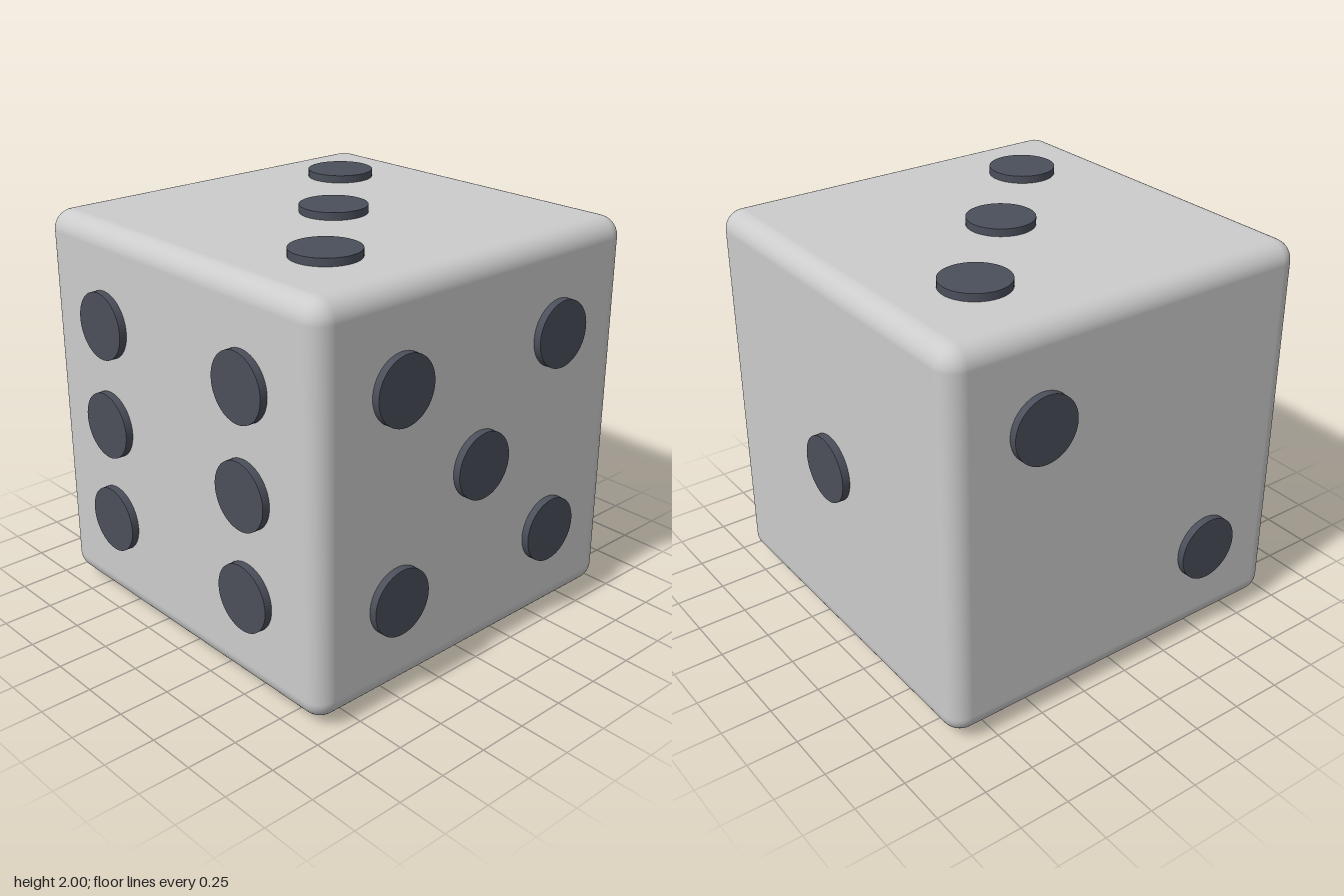
import * as THREE from 'three';
import { RoundedBoxGeometry } from 'three/addons/geometries/RoundedBoxGeometry.js';

const SIZE = 1.926;   // body edge length
const PIP_R = 0.163;
const PIP_TOP = 1;    // outer pip face, measured from the centre
const PIP_DEPTH = 0.1;
const S = 0.5;        // pip spacing

export function createModel() {
  const die = new THREE.Group();
  die.name = 'die';
  const bodyMat = new THREE.MeshStandardMaterial({ color: 0xcccccc });
  const pipMat = new THREE.MeshStandardMaterial({ color: 0x4b4f5a });

  // Rounded cube
  const body = new THREE.Mesh(new RoundedBoxGeometry(SIZE, SIZE, SIZE, 6, 0.1), bodyMat);
  body.name = 'body';
  body.position.y = 1;
  die.add(body);

  // Raised disc whose outer face points along +z
  const pipGeo = new THREE.CylinderGeometry(PIP_R, PIP_R, PIP_DEPTH, 48);
  pipGeo.rotateX(Math.PI / 2);
  pipGeo.translate(0, 0, PIP_TOP - PIP_DEPTH / 2);

  // Pip layouts, in each face's own right/up coordinates
  const corners = [[-S, S], [S, S], [-S, -S], [S, -S]];
  const q = Math.PI / 2;
  const faces = [
    { name: 'frontPips', rot: [0, 0, 0], pips: [...corners, [0, 0]] },
    { name: 'backPips', rot: [0, 2 * q, 0], pips: [[-S, S], [S, -S]] },
    { name: 'leftPips', rot: [0, q, 0], pips: [[0, 0]] },
    { name: 'rightPips', rot: [0, -q, 0], pips: [...corners, [-S, 0], [S, 0]] },
    { name: 'topPips', rot: [-q, 0, 0], pips: [[S, S], [0, 0], [-S, -S]] },
    { name: 'bottomPips', rot: [q, 0, 0], pips: corners },
  ];

  for (const { name, rot, pips } of faces) {
    const face = new THREE.Group();
    face.name = name;
    face.position.y = 1;
    face.rotation.set(...rot);
    for (const [x, y] of pips) {
      const pip = new THREE.Mesh(pipGeo, pipMat);
      pip.name = 'pip';
      pip.position.set(x, y, 0);
      face.add(pip);
    }
    die.add(face);
  }
  return die;
}
